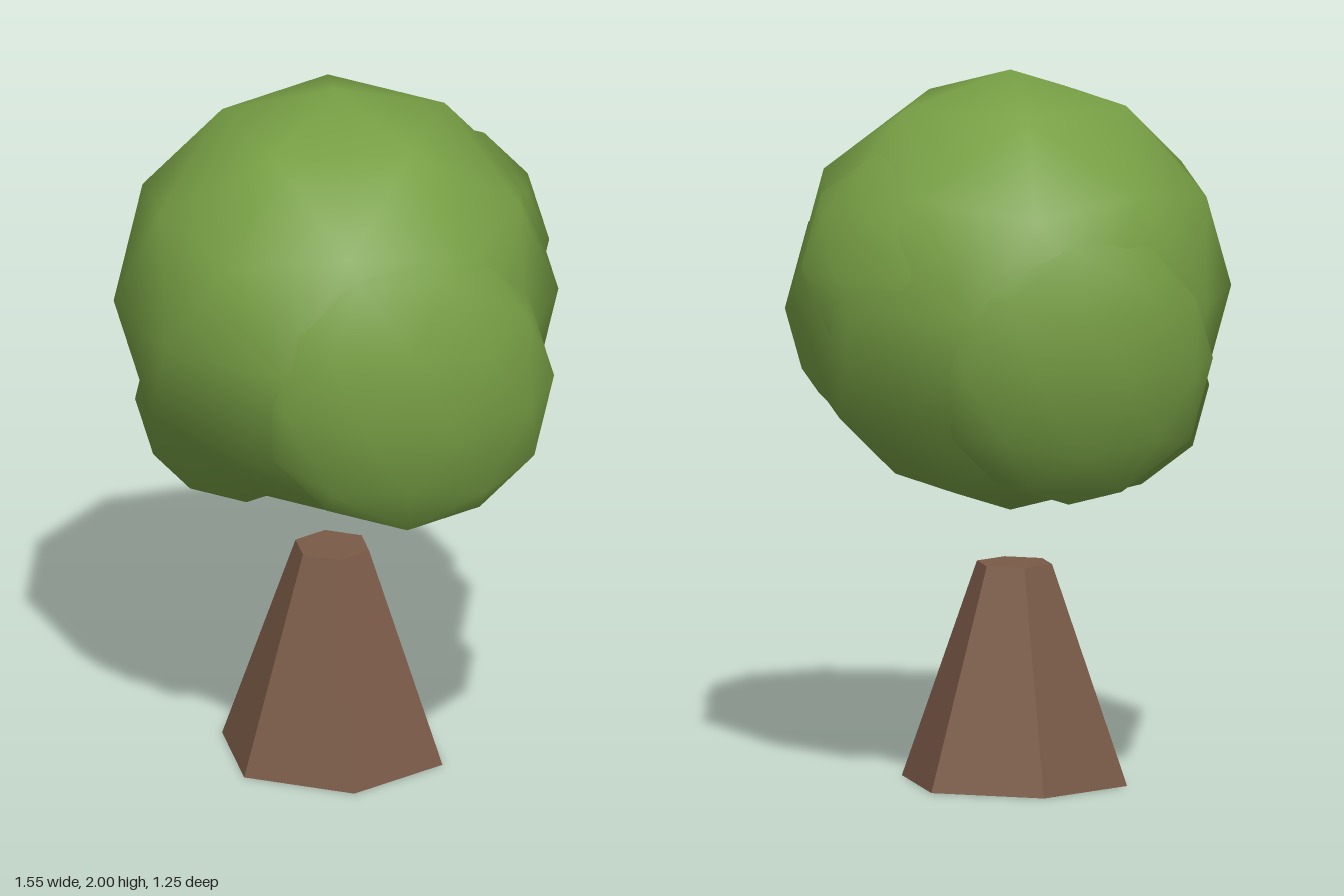
import * as THREE from 'three';

const leafMaterial = new THREE.MeshStandardMaterial({ color: 0x78a045 });
const barkMaterial = new THREE.MeshStandardMaterial({ color: 0x7a5a47, flatShading: true });

const crownCentre = new THREE.Vector3(-0.03, 1.38, 0);

// Low-poly ball with a corner at each pole, shaded as part of one round crown
function leafBall(name, radius, x, y, z) {
  const geometry = new THREE.IcosahedronGeometry(radius, 1);
  geometry.rotateZ(-Math.atan(2 / (1 + Math.sqrt(5))));
  geometry.translate(x, y, z);
  const { position, normal } = geometry.attributes;
  const n = new THREE.Vector3();
  for (let i = 0; i < position.count; i++) {
    n.fromBufferAttribute(position, i).sub(crownCentre).normalize();
    normal.setXYZ(i, n.x, n.y, n.z);
  }
  const mesh = new THREE.Mesh(geometry, leafMaterial);
  mesh.name = name;
  return mesh;
}

export function createModel() {
  const tree = new THREE.Group();
  tree.name = 'tree';

  // Six-sided tapered trunk, stopping short of the crown
  const trunk = new THREE.Mesh(new THREE.CylinderGeometry(0.11, 0.33, 0.615, 6), barkMaterial);
  trunk.name = 'trunk';
  trunk.scale.z = 0.97;
  trunk.position.set(-0.052, 0.3075, -0.005);
  tree.add(trunk);

  // Crown of overlapping balls
  const crown = new THREE.Group();
  crown.name = 'crown';
  crown.add(
    leafBall('mainFoliage', 0.62, crownCentre.x, crownCentre.y, crownCentre.z),
    leafBall('leftFoliage', 0.425, 0.37, 1.28, 0.0975),
    leafBall('rightFoliage', 0.405, -0.395, 1.235, -0.125),
    leafBall('backFoliage', 0.355, 0.02, 1.48, -0.27),
    leafBall('lowerFrontFoliage', 0.3, -0.16, 1.095, 0.23),
  );
  tree.add(crown);

  return tree;
}
